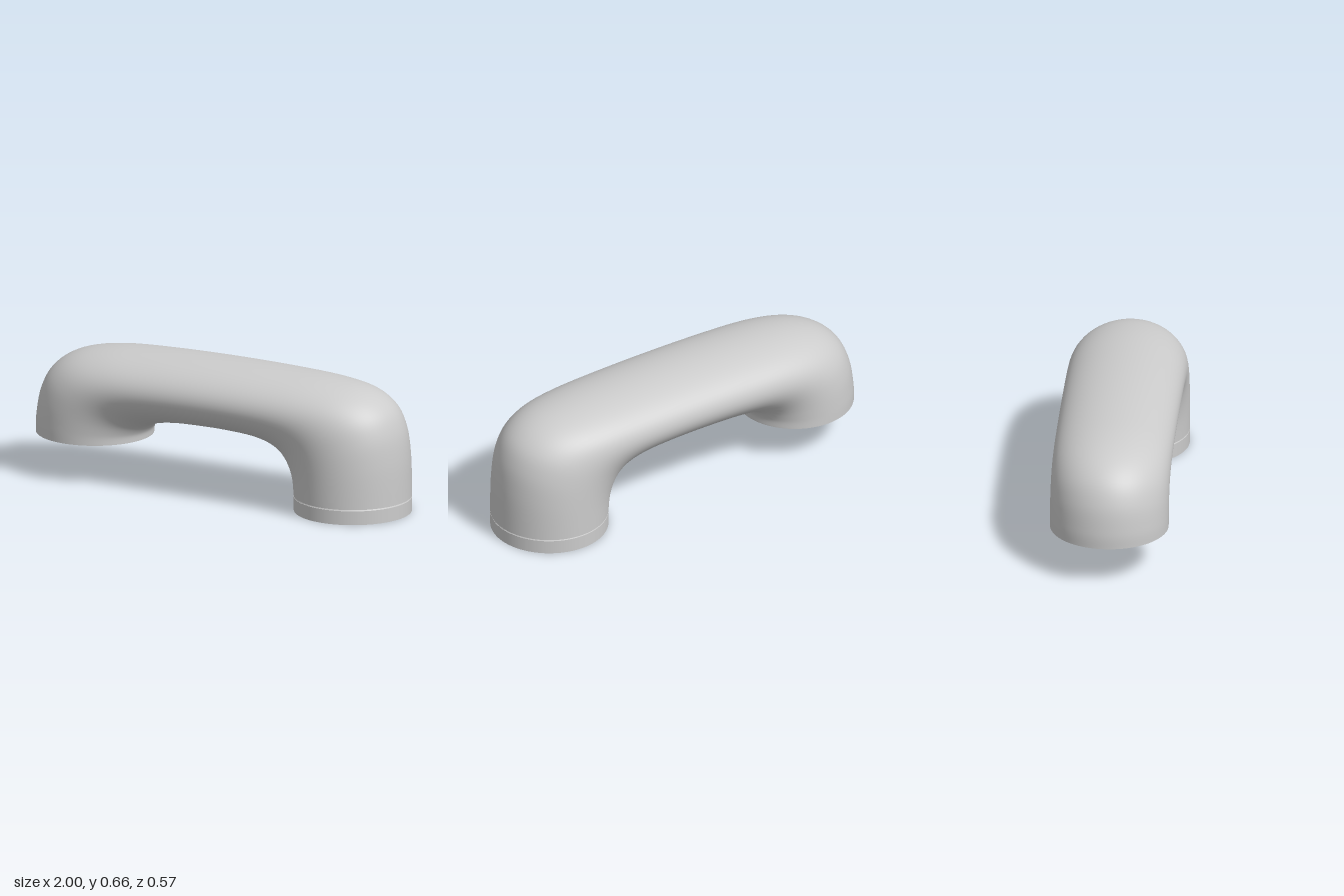
import * as THREE from 'three';

const HALF_DEPTH = 0.286;
const SIDES = 64;
const STEPS = 90;

// Matched stations along the handle: outer x, outer y, inner x, inner y
const STATIONS = [
  [-1, 0.2, -0.43, 0.2],
  [-0.998, 0.28, -0.425, 0.235],
  [-0.975, 0.41, -0.4, 0.268],
  [-0.915, 0.52, -0.365, 0.287],
  [-0.8, 0.597, -0.32, 0.3],
  [-0.62, 0.637, -0.25, 0.313],
  [-0.35, 0.652, -0.15, 0.322],
  [0, 0.657, 0, 0.325],
  [0.35, 0.652, 0.12, 0.322],
  [0.62, 0.638, 0.22, 0.313],
  [0.8, 0.605, 0.3, 0.292],
  [0.915, 0.535, 0.355, 0.26],
  [0.972, 0.43, 0.395, 0.21],
  [0.995, 0.28, 0.42, 0.15],
  [1, 0.075, 0.43, 0.075],
];

// Elliptical sections spanning the outer and inner curves, closed by flat ends
function handleGeometry() {
  const outer = new THREE.SplineCurve(STATIONS.map((s) => new THREE.Vector2(s[0], s[1])));
  const inner = new THREE.SplineCurve(STATIONS.map((s) => new THREE.Vector2(s[2], s[3])));
  const pos = [];
  const index = [];

  const addSection = (t) => {
    const o = outer.getPoint(t);
    const i = inner.getPoint(t);
    const mid = o.clone().add(i).multiplyScalar(0.5);
    const half = o.clone().sub(mid);
    const start = pos.length / 3;
    for (let j = 0; j < SIDES; j++) {
      const a = (j / SIDES) * Math.PI * 2;
      const c = Math.cos(a);
      pos.push(mid.x + half.x * c, mid.y + half.y * c, Math.sin(a) * HALF_DEPTH);
    }
    return { start, mid };
  };

  for (let k = 0; k <= STEPS; k++) {
    const { start } = addSection(k / STEPS);
    if (k === 0) continue;
    for (let j = 0; j < SIDES; j++) {
      const n = (j + 1) % SIDES;
      const p = start - SIDES;
      index.push(p + j, p + n, start + j, p + n, start + n, start + j);
    }
  }

  // End caps with their own vertices for a crisp edge
  for (const t of [0, 1]) {
    const { start, mid } = addSection(t);
    const centre = pos.length / 3;
    pos.push(mid.x, mid.y, 0);
    for (let j = 0; j < SIDES; j++) {
      const a = start + j;
      const b = start + ((j + 1) % SIDES);
      if (t === 0) index.push(centre, b, a);
      else index.push(centre, a, b);
    }
  }

  const geo = new THREE.BufferGeometry();
  geo.setAttribute('position', new THREE.Float32BufferAttribute(pos, 3));
  geo.setIndex(index);
  geo.computeVertexNormals();
  return geo;
}

export function createModel() {
  const group = new THREE.Group();
  group.name = 'archedHandle';
  const material = new THREE.MeshStandardMaterial({ color: 0xcccccc });

  const handle = new THREE.Mesh(handleGeometry(), material);
  handle.name = 'handle';
  group.add(handle);

  // Foot disc under the longer leg, its top edge eased to leave a fine groove
  const profile = [
    [0, 0], [0.285, 0], [0.285, 0], [0.285, 0.066], [0.281, 0.074], [0, 0.074],
  ].map(([r, y]) => new THREE.Vector2(r, y));
  const foot = new THREE.Mesh(
    new THREE.CylinderGeometry(0.285, 0.285, 0.068, SIDES).translate(0, 0.034, 0),
    material,
  );
  foot.name = 'foot';
  foot.position.x = 0.715;
  group.add(foot);

  const groove = new THREE.Mesh(
    new THREE.LatheGeometry(profile.slice(3, 5), SIDES),
    material,
  );
  groove.name = 'footGroove';
  groove.position.x = 0.715;
  group.add(groove);

  return group;
}
